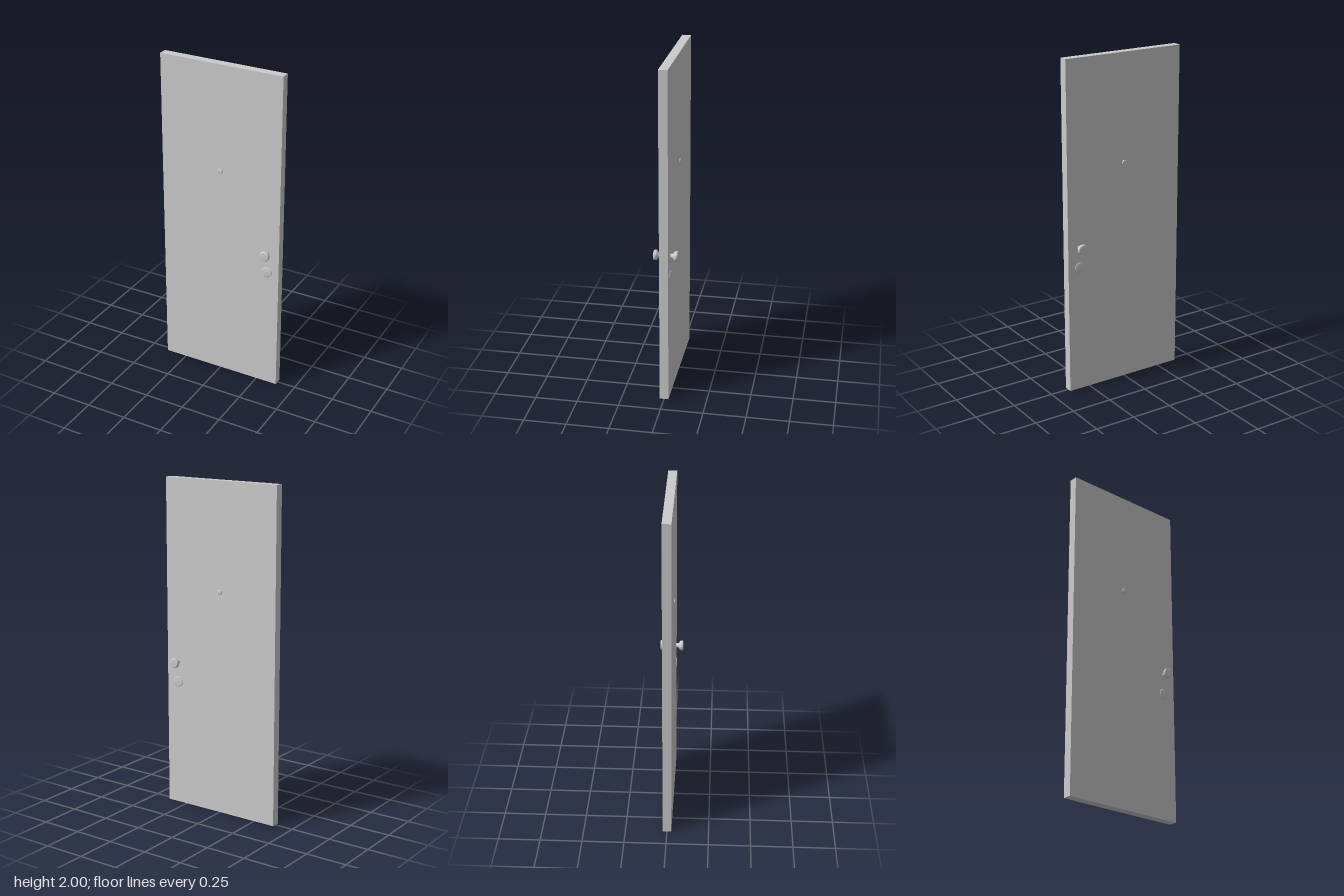
import * as THREE from 'three';

const grey = new THREE.MeshStandardMaterial({ color: 0xcccccc });
const HALF = 0.026; // half the door thickness

// Turned part: points are [radius, height above the door face], axis along +z
function turned(name, points, x, y) {
  const profile = points.map(([r, h]) => new THREE.Vector2(r, h));
  const geometry = new THREE.LatheGeometry(profile, 40);
  geometry.rotateX(Math.PI / 2);
  const mesh = new THREE.Mesh(geometry, grey);
  mesh.name = name;
  mesh.position.set(x, y, HALF);
  return mesh;
}

// Fittings for one face of the door; side is +1 for front, -1 for back
function fittings(side) {
  const group = new THREE.Group();
  group.name = side > 0 ? 'frontFittings' : 'backFittings';
  const x = 0.308 * side;

  // Knob: narrow neck flaring to a broad, softly rounded head
  group.add(turned('knob', [
    [0.0135, -0.002], [0.0130, 0.006], [0.0135, 0.013], [0.0170, 0.017],
    [0.0230, 0.0205], [0.0275, 0.0245], [0.0300, 0.0295], [0.0307, 0.034],
    [0.0303, 0.039], [0.0285, 0.0425], [0.0250, 0.0442], [0.0150, 0.0448], [0, 0.045],
  ], x, 0.895));

  // Lock cover: shallow domed disc
  group.add(turned('lockCover', [
    [0.0330, -0.001], [0.0330, 0.0015], [0.0315, 0.0032],
    [0.0260, 0.0042], [0.0140, 0.0052], [0, 0.0056],
  ], x, 0.772));

  // Peephole: small rounded button
  group.add(turned('peephole', [
    [0.0158, -0.001], [0.0156, 0.003], [0.0145, 0.0052],
    [0.0115, 0.0063], [0.0060, 0.0066], [0, 0.0067],
  ], 0, 1.356));

  if (side < 0) group.rotation.y = Math.PI;
  return group;
}

export function createModel() {
  const door = new THREE.Group();
  door.name = 'door';

  // Plain slab
  const slab = new THREE.Mesh(new THREE.BoxGeometry(0.768, 2, HALF * 2), grey);
  slab.name = 'doorSlab';
  slab.position.y = 1;
  door.add(slab);

  for (const side of [1, -1]) door.add(fittings(side));
  return door;
}
